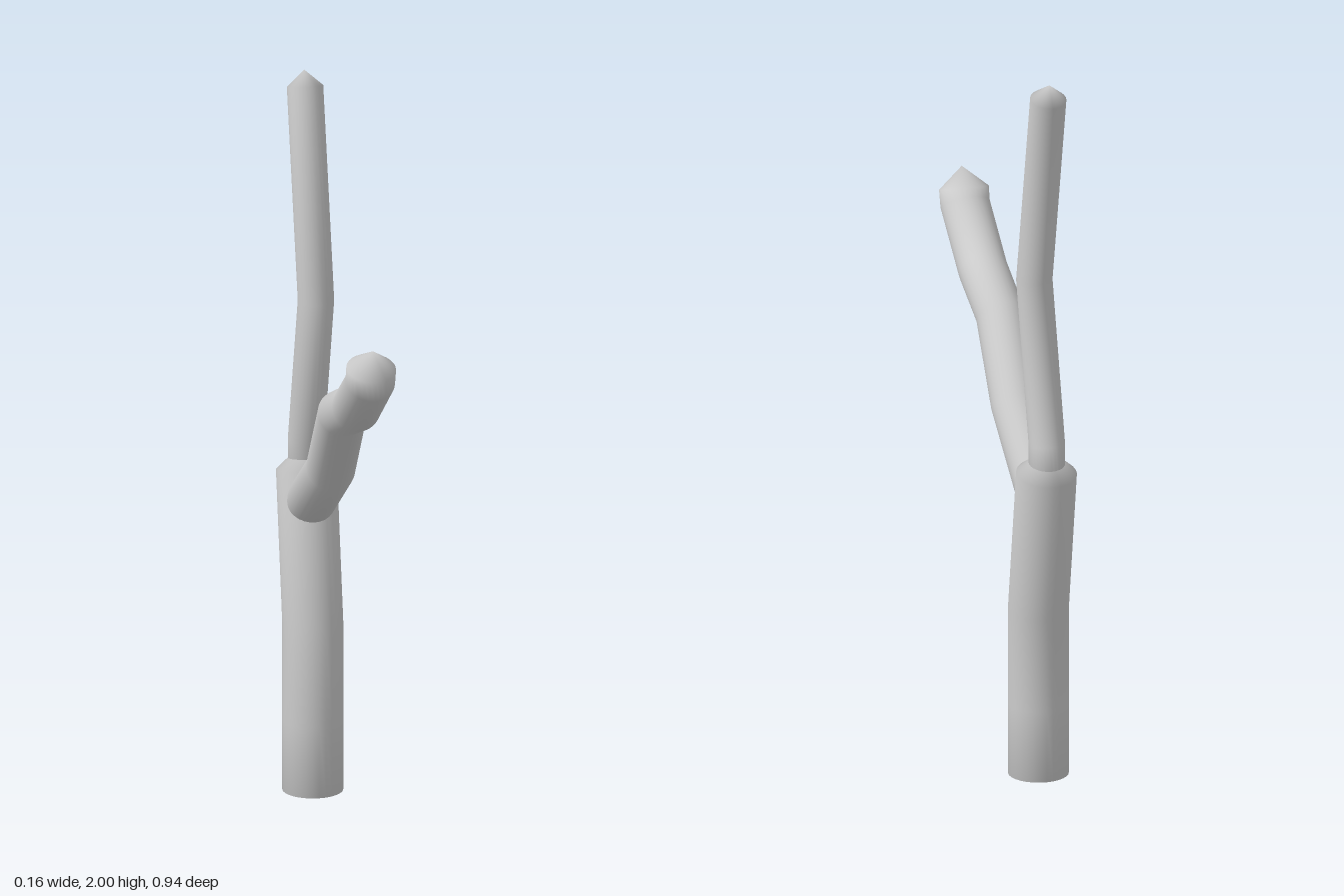
import * as THREE from 'three';

const SIDES = 28;

// Limb swept along [y, z] points; the last point is the tip of its conical end.
function limb(name, radius, path) {
  const pts = path.map(([y, z]) => new THREE.Vector3(0, y, z));
  const tip = pts.pop();
  const pos = [], idx = [];
  pts.forEach((p, i) => {
    // each ring faces halfway between the neighbouring segments
    const next = (pts[i + 1] ?? tip).clone().sub(p).normalize();
    const prev = i ? p.clone().sub(pts[i - 1]).normalize() : next;
    const t = next.clone().add(prev).normalize();
    for (let j = 0; j < SIDES; j++) {
      const a = (j / SIDES) * Math.PI * 2;
      const c = Math.cos(a) * radius, s = Math.sin(a) * radius;
      pos.push(c, p.y + s * t.z, p.z - s * t.y);
    }
  });
  const last = (pts.length - 1) * SIDES;
  const base = pts.length * SIDES, top = base + 1;
  pos.push(...pts[0].toArray(), ...tip.toArray());

  for (let j = 0; j < SIDES; j++) {
    const k = (j + 1) % SIDES;
    for (let r = 0; r < last; r += SIDES) {
      idx.push(r + j, r + k, r + SIDES + j, r + k, r + SIDES + k, r + SIDES + j);
    }
    idx.push(base, k, j, last + j, last + k, top); // flat base and conical tip
  }

  const geo = new THREE.BufferGeometry();
  geo.setAttribute('position', new THREE.Float32BufferAttribute(pos, 3));
  geo.setIndex(idx);
  geo.computeVertexNormals();
  const mesh = new THREE.Mesh(geo, new THREE.MeshStandardMaterial({ color: 0xcccccc }));
  mesh.name = name;
  return mesh;
}

export function createModel() {
  const group = new THREE.Group();
  group.name = 'bareTree';
  group.add(
    limb('trunk', 0.082, [[0, -0.312], [0.2, -0.312], [0.47, -0.312], [0.883, -0.39], [0.956, -0.403]]),
    limb('upperBranch', 0.049, [[0.86, -0.394], [0.965, -0.394], [1.395, -0.273], [1.957, -0.407], [2, -0.418]]),
    limb('frontBranch', 0.067, [
      [0.784, -0.37], [0.975, -0.095], [1.179, 0.05], [1.25, 0.22],
      [1.378, 0.392], [1.42, 0.404], [1.475, 0.425],
    ]),
  );
  return group;
}
